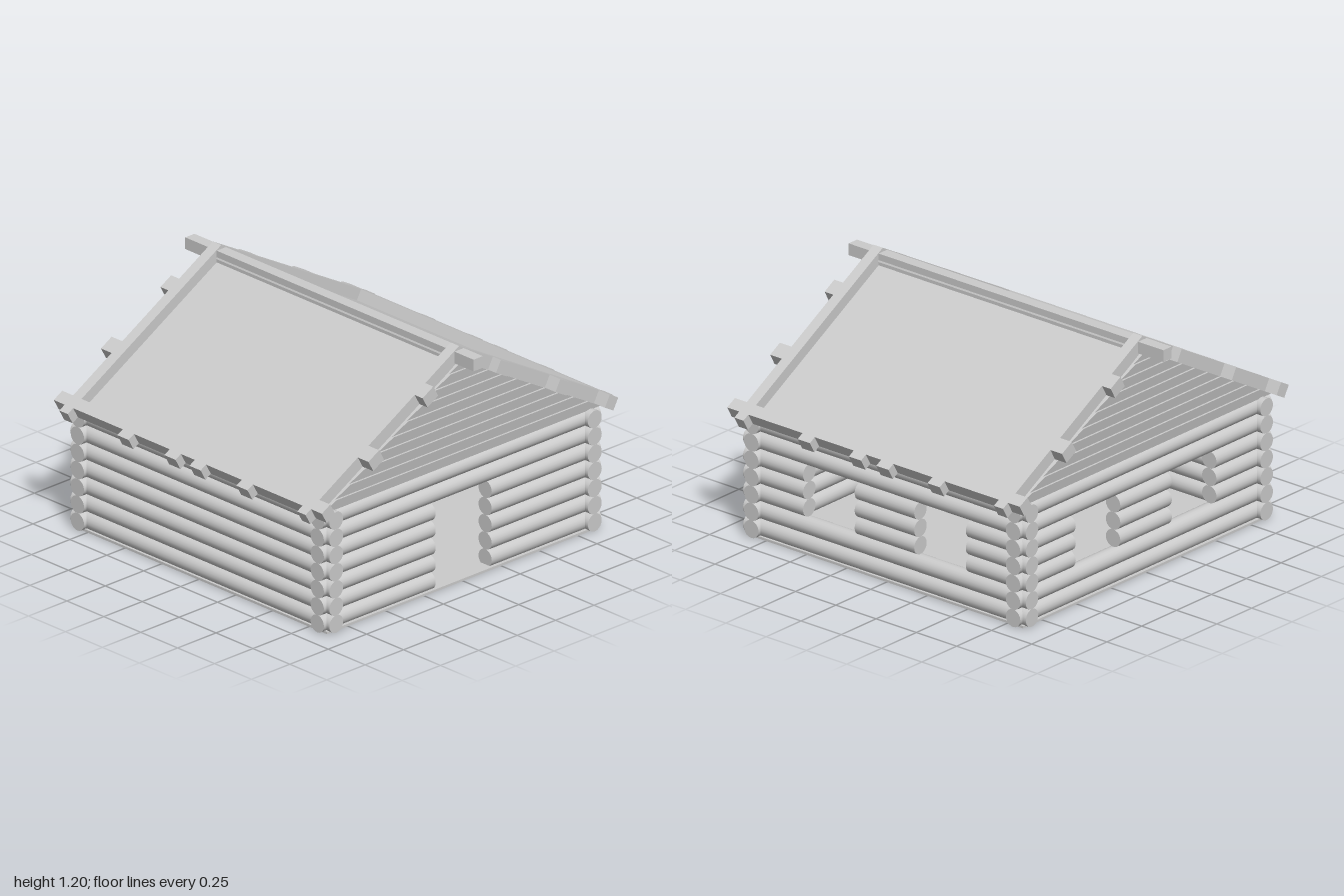
import * as THREE from 'three';

const material = new THREE.MeshStandardMaterial({ color: 0xcccccc });
const R = 0.045, ROWS = 7, STEP = 0.0885;      // wall logs
const WALL_X = 0.8125, WALL_Z = 0.842;         // wall centre lines
const END_X = 0.8775, END_Z = 0.903;           // log ends
const WALL_TOP = 0.62;
const APEX = 1.2, PITCH = Math.atan(0.56), LAYER = 0.065; // roof frame

function add(parent, name, geometry, x = 0, y = 0, z = 0) {
  const mesh = new THREE.Mesh(geometry, material);
  mesh.name = name;
  mesh.position.set(x, y, z);
  parent.add(mesh);
  return mesh;
}

// Box given by its minimum and maximum along each axis
function block(parent, name, x0, x1, y0, y1, z0, z1) {
  return add(parent, name, new THREE.BoxGeometry(x1 - x0, y1 - y0, z1 - z0),
    (x0 + x1) / 2, (y0 + y1) / 2, (z0 + z1) / 2);
}

// Wall of stacked logs along x; rows inside an opening are split into pieces
function logWall(name, half, openings) {
  const wall = new THREE.Group();
  wall.name = name;
  for (let row = 0; row < ROWS; row++) {
    const cuts = openings.filter(o => row >= o.from && row <= o.to);
    const stops = [-half, ...cuts.flatMap(o => [o.a, o.b]), half];
    for (let i = 0; i < stops.length; i += 2) {
      const geometry = new THREE.CylinderGeometry(R, R, stops[i + 1] - stops[i], 20);
      geometry.rotateZ(Math.PI / 2);
      add(wall, 'log', geometry, (stops[i] + stops[i + 1]) / 2, R + row * STEP, 0);
    }
  }
  return wall;
}

// Horizontal boards filling the triangle under the roof, each slightly lapped
function gable(side) {
  const group = new THREE.Group();
  group.name = side > 0 ? 'leftGable' : 'rightGable';
  const height = 0.052, thick = 0.05;
  const peak = APEX - LAYER / Math.cos(PITCH);
  const halfAt = y => Math.max(0.004, (peak - y) / 0.56);
  for (let y = WALL_TOP - 0.005; y < peak - 0.01; y += height) {
    const top = Math.min(y + height, peak);
    const a = halfAt(y), b = halfAt(top);
    const shape = new THREE.Shape([
      new THREE.Vector2(-a, 0), new THREE.Vector2(a, 0),
      new THREE.Vector2(b, top - y), new THREE.Vector2(-b, top - y)]);
    const geometry = new THREE.ExtrudeGeometry(shape, { depth: thick, bevelEnabled: false });
    geometry.translate(0, 0, -thick / 2).rotateY(Math.PI / 2);
    geometry.applyMatrix4(new THREE.Matrix4().makeShear(0, 0, side * 0.2, 0, 0, 0));
    add(group, 'gableBoard', geometry, side * (WALL_X + 0.008), y, 0);
  }
  return group;
}

// One roof slope: local z runs down the slope, local y is its normal
function roofSlope(name) {
  const slope = new THREE.Group();
  slope.name = name;
  block(slope, 'roofPanel', -0.80, 0.80, -0.07, -0.055, 0, 1.07);
  block(slope, 'eaveBeam', -0.908, 0.908, -LAYER, 0, 1.043, 1.106);
  for (const s of [-1, 1]) {
    const span = (a, b) => s > 0 ? [a, b] : [-b, -a];
    block(slope, 'vergeBeam', ...span(0.777, 0.834), -LAYER, 0, 0, 1.146);
    block(slope, 'purlinEnd', ...span(0.82, 0.888), -LAYER, 0, 0.252, 0.332);
    block(slope, 'purlinEnd', ...span(0.82, 0.906), -LAYER, 0, 0.676, 0.756);
    for (const x of [0.085, 0.403])
      block(slope, 'rafterTail', ...span(x - 0.038, x + 0.038), -LAYER, 0, 1.09, 1.146);
  }
  slope.position.y = APEX;
  slope.rotation.x = PITCH;
  return slope;
}

export function createModel() {
  const model = new THREE.Group();
  model.name = 'logCabin';
  const cabin = new THREE.Group();
  cabin.name = 'cabin';
  cabin.position.x = 0.0125;
  model.add(cabin);

  block(cabin, 'floor', -0.86, 0.86, 0, 0.012, -0.885, 0.885);

  // Walls: solid front, two windows at the back and right, door on the left
  const windows = [
    { a: -0.505, b: -0.185, from: 2, to: 4 },
    { a: 0.185, b: 0.505, from: 2, to: 4 }];
  const door = [{ a: -0.175, b: 0.19, from: 0, to: 4 }];
  const front = logWall('frontWall', END_X, []);
  front.position.z = WALL_Z;
  const back = logWall('backWall', END_X, windows);
  back.position.z = -WALL_Z;
  const left = logWall('leftWall', END_Z, door);
  left.position.x = WALL_X;
  left.rotation.y = Math.PI / 2;
  const right = logWall('rightWall', END_Z, windows);
  right.position.x = -WALL_X;
  right.rotation.y = Math.PI / 2;
  cabin.add(front, back, left, right, gable(1), gable(-1));

  // Roof
  const backHalf = new THREE.Group();
  backHalf.name = 'backRoof';
  backHalf.rotation.y = Math.PI;
  backHalf.add(roofSlope('backSlope'));
  cabin.add(roofSlope('frontSlope'), backHalf);
  block(cabin, 'ridgeBeam', -0.99, 0.963, 1.12, 1.18, -0.03, 0.03);

  return model;
}
